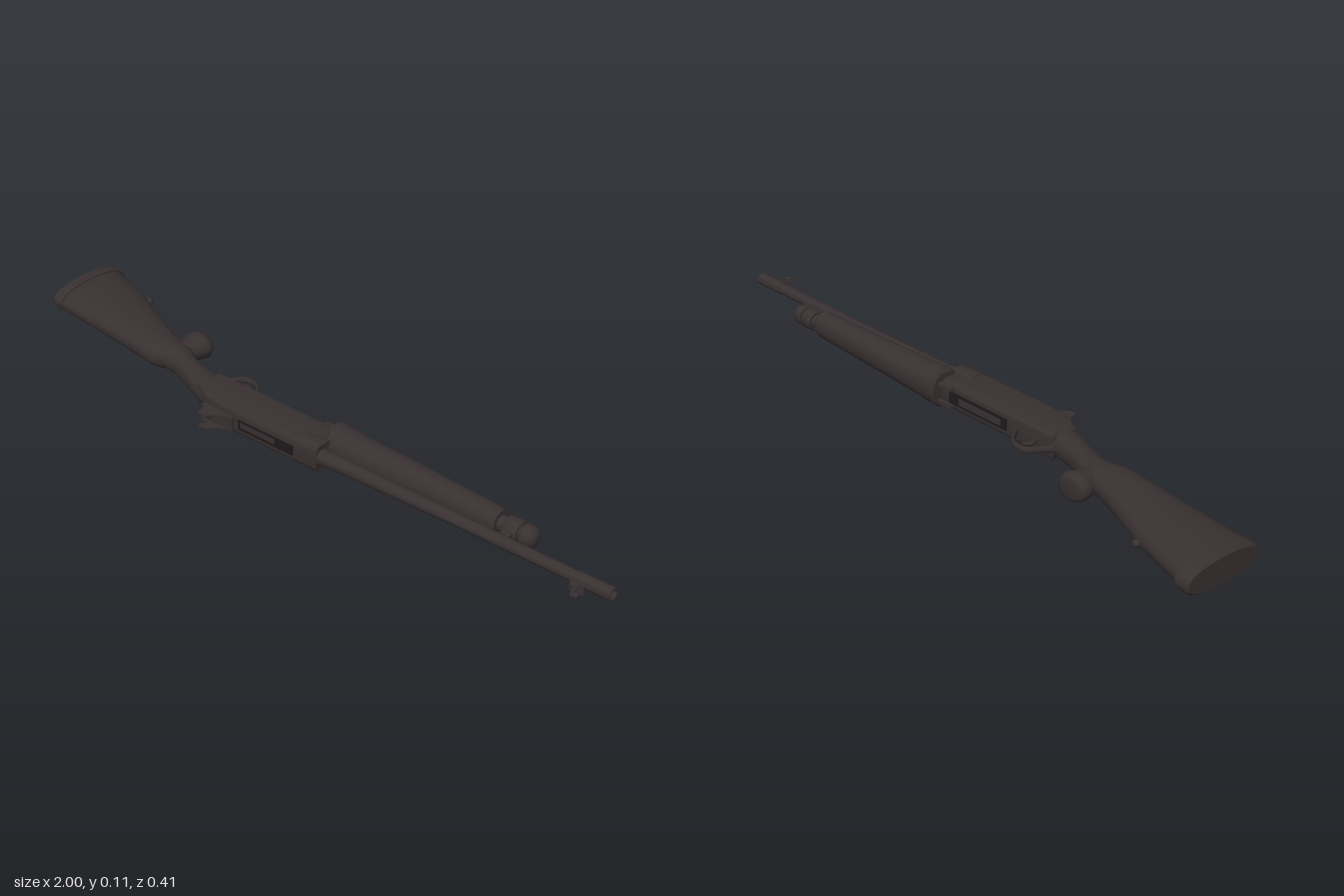
import * as THREE from 'three';
import { toCreasedNormals } from 'three/addons/utils/BufferGeometryUtils.js';

const body = new THREE.MeshStandardMaterial({ color: 0x383031 });
body.name = 'charcoal body';
const dark = new THREE.MeshStandardMaterial({ color: 0x1e1a1b, side: THREE.DoubleSide });
dark.name = 'dark recess';

// Closed loft along x. Each station is [x, zMin, zMax, halfWidth, yCentre]; n is the squareness.
function loft(stations, n = 2, seg = 28) {
  const pos = [], idx = [];
  const pw = v => Math.sign(v) * Math.pow(Math.abs(v), 2 / n);
  for (const [x, z0, z1, hw, yc] of stations)
    for (let j = 0; j < seg; j++) {
      const a = (j / seg) * Math.PI * 2;
      pos.push(x, yc + hw * pw(Math.cos(a)), (z0 + z1) / 2 + ((z1 - z0) / 2) * pw(Math.sin(a)));
    }
  const last = stations.length - 1;
  for (let i = 0; i < last; i++)
    for (let j = 0; j < seg; j++) {
      const a = i * seg + j, b = i * seg + (j + 1) % seg;
      idx.push(a, b, a + seg, b, b + seg, a + seg);
    }
  for (const [s, flip] of [[0, true], [last, false]]) {
    const [x, z0, z1, , yc] = stations[s], c = pos.length / 3;
    pos.push(x, yc, (z0 + z1) / 2);
    for (let j = 0; j < seg; j++) {
      const a = s * seg + j, b = s * seg + (j + 1) % seg;
      idx.push(c, flip ? b : a, flip ? a : b);
    }
  }
  const g = new THREE.BufferGeometry();
  g.setAttribute('position', new THREE.Float32BufferAttribute(pos, 3));
  g.setIndex(idx);
  return toCreasedNormals(g, 0.6);
}

// Round loft: stations are [x, radius]
const round = (list, z, y, seg) => loft(list.map(([x, r]) => [x, z - r, z + r, r, y]), 2, seg);

// Outline in the x-z plane, extruded through y0..y1
function plate(points, y0, y1, bevel = 0, hole) {
  const shape = new THREE.Shape(points.map(p => new THREE.Vector2(...p)));
  if (hole) shape.holes.push(new THREE.Path(hole.map(p => new THREE.Vector2(...p))));
  const g = new THREE.ExtrudeGeometry(shape, {
    depth: y1 - y0 - 2 * bevel, bevelEnabled: bevel > 0, bevelSize: bevel,
    bevelOffset: -bevel, bevelThickness: bevel, bevelSegments: 3,
  });
  g.rotateX(Math.PI / 2);
  g.translate(0, y1 - bevel, 0);
  return toCreasedNormals(g, 0.6);
}

export function createModel() {
  const model = new THREE.Group();
  const add = (name, geo, mat = body) => {
    const m = new THREE.Mesh(geo, mat);
    m.name = name;
    model.add(m);
    return m;
  };
  const box = (name, x0, x1, y0, y1, z0, z1, mat) =>
    add(name, new THREE.BoxGeometry(x1 - x0, y1 - y0, z1 - z0)
      .translate((x0 + x1) / 2, (y0 + y1) / 2, (z0 + z1) / 2), mat);

  // Butt pad, stock and wrist
  add('buttPad', loft([
    [-1, -0.198, 0.038, 0.036, 0.055], [-0.994, -0.205, 0.045, 0.041, 0.055],
    [-0.958, -0.199, 0.049, 0.042, 0.055],
  ], 2.3));
  add('stock', loft([
    [-0.96, -0.192, 0.045, 0.039, 0.055], [-0.8, -0.138, 0.06, 0.039, 0.054],
    [-0.62, -0.058, 0.077, 0.039, 0.053], [-0.56, -0.034, 0.084, 0.038, 0.052],
    [-0.54, -0.03, 0.08, 0.037, 0.052], [-0.52, -0.025, 0.072, 0.036, 0.052],
    [-0.48, -0.01, 0.073, 0.035, 0.051], [-0.435, 0.018, 0.088, 0.034, 0.05],
    [-0.39, 0.03, 0.106, 0.034, 0.05], [-0.32, 0.045, 0.135, 0.036, 0.049],
    [-0.26, 0.047, 0.153, 0.036, 0.049],
  ], 2.3));
  // Pistol grip with a rounded end
  const grip = [[0, -0.077], [0.03, -0.077], [0.042, -0.072], [0.048, -0.06], [0.046, -0.045],
    [0.039, -0.02], [0.037, 0.01], [0.03, 0.04], [0, 0.05]].map(p => new THREE.Vector2(...p));
  add('pistolGrip', new THREE.LatheGeometry(grip, 28).rotateX(Math.PI / 2)
    .scale(1, 0.8, 1).translate(-0.508, 0.053, 0));
  add('slingStud', new THREE.SphereGeometry(0.011, 12, 8).translate(-0.79, 0.054, -0.141));

  // Receiver with a slot through its sides
  add('receiver', plate(
    [[-0.33, 0.045], [0.09, 0.045], [0.12, 0.07], [0.12, 0.157], [-0.2, 0.16], [-0.27, 0.155], [-0.33, 0.125]],
    0.012, 0.086, 0.012,
    [[-0.29, 0.066], [-0.13, 0.066], [-0.13, 0.078], [-0.29, 0.078]]));
  add('receiverCollar', loft([
    [0.045, 0.098, 0.16, 0.039, 0.049], [0.12, 0.098, 0.16, 0.039, 0.05]], 4));
  box('ejectionPort', -0.15, 0.04, 0.033, 0.062, 0.158, 0.1615, dark);
  box('boltCarrier', -0.14, -0.02, 0.042, 0.056, 0.16, 0.163);
  box('loadingPort', -0.16, 0.06, 0.032, 0.066, 0.042, 0.046, dark);
  box('shellLifter', -0.14, 0.02, 0.04, 0.058, 0.04, 0.044);
  for (const y of [0.024, 0.074])
    box('actionBar', 0.045, 0.2, y - 0.005, y + 0.005, 0.034, 0.052);

  // Trigger and its guard
  const loop = new THREE.CatmullRomCurve3([
    [-0.335, 0.05], [-0.312, 0.018], [-0.293, -0.01], [-0.255, -0.014], [-0.225, 0.005], [-0.195, 0.05],
  ].map(([x, z]) => new THREE.Vector3(x, 0, z)));
  add('triggerGuard', new THREE.TubeGeometry(loop, 30, 0.005, 8).scale(1, 2, 1).translate(0, 0.048, 0));
  const pull = new THREE.CatmullRomCurve3([[-0.265, 0.05], [-0.272, 0.025], [-0.26, 0.004]]
    .map(([x, z]) => new THREE.Vector3(x, 0.048, z)));
  add('trigger', new THREE.TubeGeometry(pull, 12, 0.005, 8));

  // Ghost ring rear sight between two wings
  box('rearSightBase', -0.275, -0.165, 0.022, 0.062, 0.155, 0.169);
  for (const y of [0.0215, 0.0605])
    add('rearSightWing', plate(
      [[-0.275, 0.158], [-0.165, 0.158], [-0.205, 0.18], [-0.232, 0.205], [-0.252, 0.205], [-0.258, 0.18]],
      y - 0.002, y + 0.002));
  add('rearSightRing', new THREE.TorusGeometry(0.008, 0.0022, 8, 20)
    .rotateY(Math.PI / 2).translate(-0.24, 0.041, 0.192));
  box('rearSightPost', -0.245, -0.235, 0.037, 0.045, 0.165, 0.185);

  // Barrel with a hollow muzzle
  add('barrel', loft([
    [0.1, 0.112, 0.159, 0.023, 0.052], [0.2, 0.113, 0.154, 0.02, 0.053],
    [0.55, 0.115, 0.149, 0.0165, 0.057], [0.9, 0.117, 0.149, 0.0155, 0.061],
    [0.9, 0.115, 0.151, 0.018, 0.061], [1, 0.115, 0.151, 0.018, 0.062],
    [1, 0.12, 0.146, 0.013, 0.062], [0.93, 0.12, 0.146, 0.013, 0.062],
  ]));
  // Front sight: slim blade, wings and bead
  for (const y of [0.047, 0.075])
    box('frontSightWing', 0.912, 0.932, y - 0.0015, y + 0.0015, 0.166, 0.182);
  box('frontSightBase', 0.902, 0.942, 0.047, 0.075, 0.165, 0.168);
  box('frontSightBlade', 0.919, 0.925, 0.0595, 0.0625, 0.167, 0.187);

  // Ribbed forend, tapering to the front
  const ribs = [[0.095, 0.018, 0.1, 0.046, 0.055], [0.1, 0.013, 0.106, 0.053, 0.055]];
  const count = 36;
  for (let i = 0; i <= count * 2; i++) {
    const t = i / (count * 2), groove = i % 2 ? 0.0018 : 0;
    const hw = t < 0.1 ? 0.053 : 0.051 - 0.012 * t;
    ribs.push([0.11 + 0.51 * t, 0.014 + 0.024 * t + groove, 0.114 - 0.007 * t - groove, hw - groove, 0.055 + 0.003 * t]);
  }
  ribs.push([0.635, 0.044, 0.1, 0.032, 0.058]);
  add('forend', loft(ribs, 2.2, 32));

  // Magazine tube, clamp and domed cap
  add('magazineTube', round([[0.1, 0.021], [0.73, 0.021]], 0.071, 0.057));
  add('magazineClamp', round([[0.655, 0.027], [0.66, 0.03], [0.692, 0.03], [0.697, 0.027]], 0.071, 0.057));
  add('magazineCap', round(
    [[0.703, 0.026], [0.707, 0.029], [0.722, 0.029], [0.733, 0.025], [0.74, 0.017], [0.743, 0.006]], 0.071, 0.057));
  box('barrelLug', 0.662, 0.69, 0.05, 0.066, 0.09, 0.122);
  return model;
}
